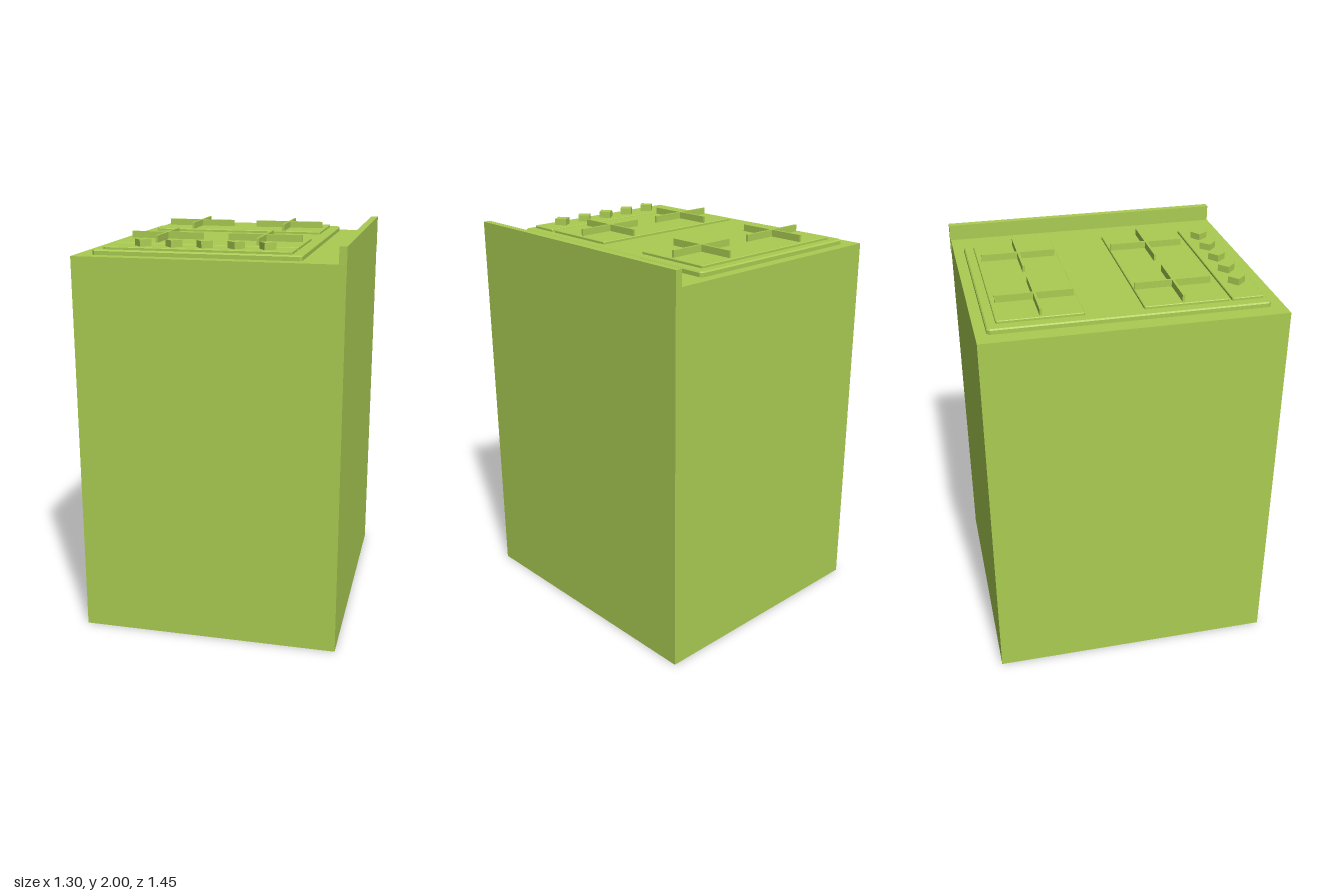
import * as THREE from 'three';

const material = new THREE.MeshStandardMaterial({ color: 0xaacc52 });

function add(parent, name, geometry, x = 0, y = 0, z = 0) {
  const mesh = new THREE.Mesh(geometry, material);
  mesh.name = name;
  mesh.position.set(x, y, z);
  parent.add(mesh);
  return mesh;
}

// Box given by its minimum and maximum on each axis
function block(parent, name, [x0, x1], [y0, y1], [z0, z1]) {
  return add(parent, name, new THREE.BoxGeometry(x1 - x0, y1 - y0, z1 - z0),
    (x0 + x1) / 2, (y0 + y1) / 2, (z0 + z1) / 2);
}

// Flat slab with clipped corners and a small chamfer round its top edge
function slab(parent, name, [x0, x1], [y0, y1], [z0, z1], cut, chamfer) {
  const w = (x1 - x0) / 2 - chamfer, d = (z1 - z0) / 2 - chamfer;
  const shape = new THREE.Shape([
    [-w + cut, -d], [w - cut, -d], [w, -d + cut], [w, d - cut],
    [w - cut, d], [-w + cut, d], [-w, d - cut], [-w, -d + cut],
  ].map(([x, y]) => new THREE.Vector2(x, y)));
  const geometry = new THREE.ExtrudeGeometry(shape, {
    depth: y1 - y0, bevelThickness: chamfer, bevelSize: chamfer, bevelSegments: 1,
  });
  geometry.rotateX(-Math.PI / 2);
  // the lower chamfer is sunk into the surface below
  return add(parent, name, geometry, (x0 + x1) / 2, y0 - chamfer, (z0 + z1) / 2);
}

export function createModel() {
  const model = new THREE.Group();
  model.name = 'stove';

  // Cabinet and the upright rail along its side
  block(model, 'body', [-0.65, 0.65], [0, 1.92], [-0.723, 0.723]);
  block(model, 'splashRail', [0.615, 0.651], [1.84, 2], [-0.726, 0.722]);

  // Hob plate with two burner panels and a control panel
  slab(model, 'hobPlate', [-0.57, 0.44], [1.92, 1.945], [-0.67, 0.657], 0.01, 0.006);
  const panels = { rearBurnerPanel: [-0.623, -0.217], frontBurnerPanel: [0.06, 0.466], controlPanel: [0.482, 0.634] };
  for (const [name, z] of Object.entries(panels)) {
    slab(model, name, [-0.518, 0.39], [1.945, 1.958], z, 0.004, 0.003);
  }

  // Cross-shaped pan supports
  for (const z of [-0.417, 0.25]) {
    for (const x of [-0.316, 0.188]) {
      const grate = new THREE.Group();
      grate.name = 'panSupport';
      grate.position.set(x, 1.972, z);
      add(grate, 'supportBar', new THREE.BoxGeometry(0.372, 0.04, 0.012));
      add(grate, 'supportBar', new THREE.BoxGeometry(0.012, 0.04, 0.372));
      model.add(grate);
    }
  }

  // Square control knobs, each turned a little differently
  [-0.343, -0.191, -0.04, 0.112, 0.264].forEach((x, i) => {
    const knob = add(model, 'knob', new THREE.BoxGeometry(0.06, 0.036, 0.06), x, 1.973, 0.56);
    knob.rotation.y = 0.72 + 0.12 * (i % 2 ? 1 : -1) * (i / 4);
  });

  return model;
}
